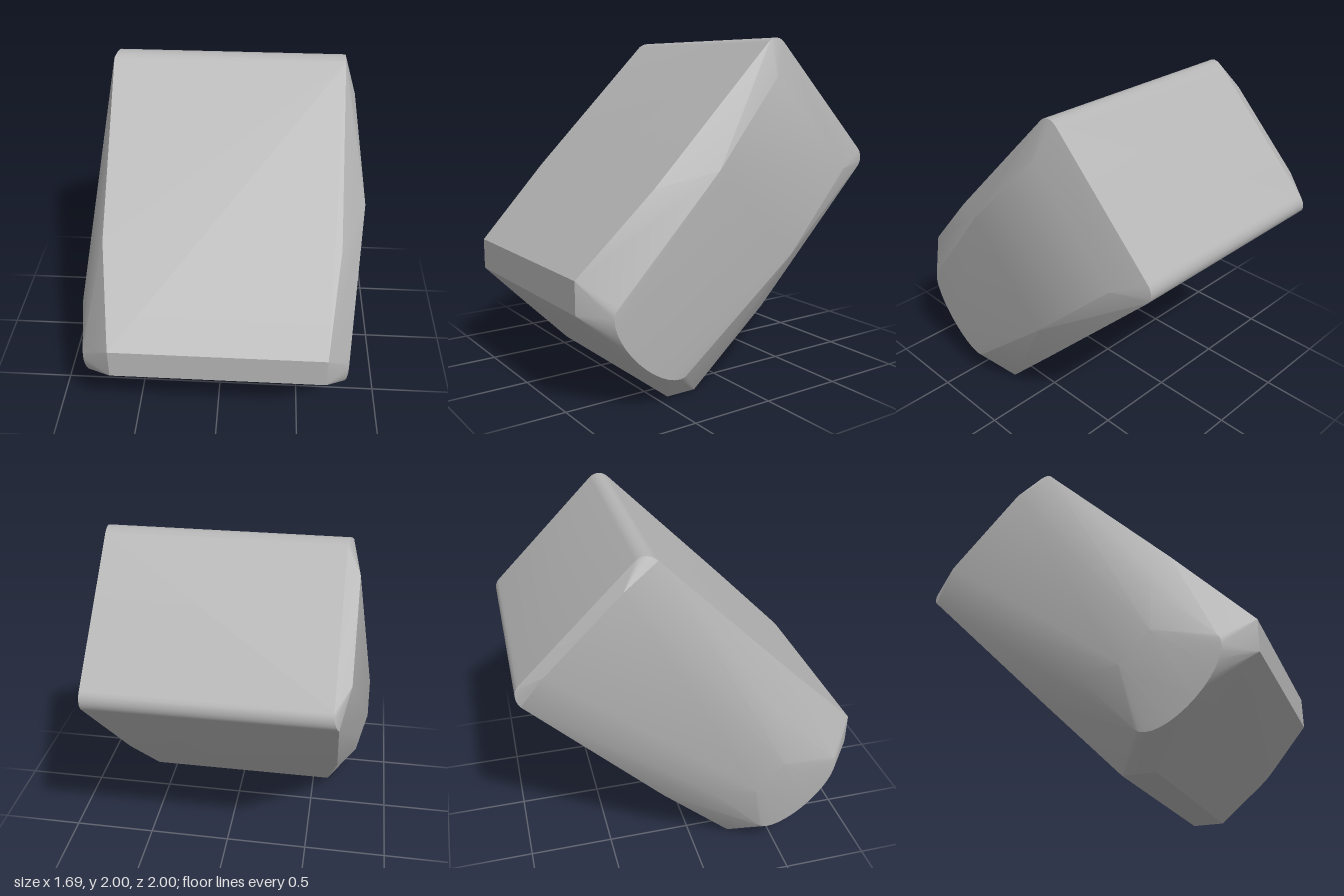
import * as THREE from 'three';
import { ConvexGeometry } from 'three/addons/geometries/ConvexGeometry.js';
import { toCreasedNormals } from 'three/addons/utils/BufferGeometryUtils.js';

export function createModel() {
  const group = new THREE.Group();
  group.name = 'tiltedBlock';
  const grey = new THREE.MeshStandardMaterial({ color: 0xb4b4b4 });
  grey.name = 'plain grey';

  // The block leans back 45 degrees: u runs up its length, v through its thickness.
  const middle = 0.709;
  const points = [];
  const add = (x, u, v) => points.push(new THREE.Vector3(x, (u + v) / Math.SQRT2, (v - u) / Math.SQRT2));
  const pair = (x, u, dv) => { add(x, u, middle + dv); add(x, u, middle - dv); };

  // Chamfered foot and broad faces, narrowing towards the foot
  for (const [foot, body] of [[-0.6, -0.665], [0.635, 0.7]]) {
    pair(foot, -0.304, 0.403);
    pair(foot, -0.173, 0.535);
    pair(body, 0.453, 0.535);
  }

  // Rounded long edges of the top end
  const steps = 6, r = 0.08;
  for (let i = 0; i <= steps; i++) {
    const a = (i / steps) * Math.PI / 2;
    const u = 1.55 + r * Math.sin(a), dv = 0.455 + r * Math.cos(a);
    pair(0.7, u, dv);
    pair(-0.665 + 0.03 * Math.sin(a), u, dv);
  }

  // Left flank: cross ridge, then a slope to the top end
  pair(0.845, 0.745, 0.37);
  pair(0.77, 1.415, 0.39);

  // Right flank: low ridge, tapering to the top end
  pair(-0.845, 0.13, 0.12);
  pair(-0.785, 0.33, 0.305);
  pair(-0.715, 1.595, 0.305);

  // Rounded lower ends of both flanks
  for (let i = 0; i <= 16; i++) {
    const a = (i / 16) * Math.PI;
    for (const x of [-0.785, 0.775]) add(x, -0.15 - 0.14 * Math.sin(a), middle + 0.315 * Math.cos(a));
  }

  const body = new THREE.Mesh(toCreasedNormals(new ConvexGeometry(points), 0.3), grey);
  body.name = 'body';
  group.add(body);
  return group;
}
